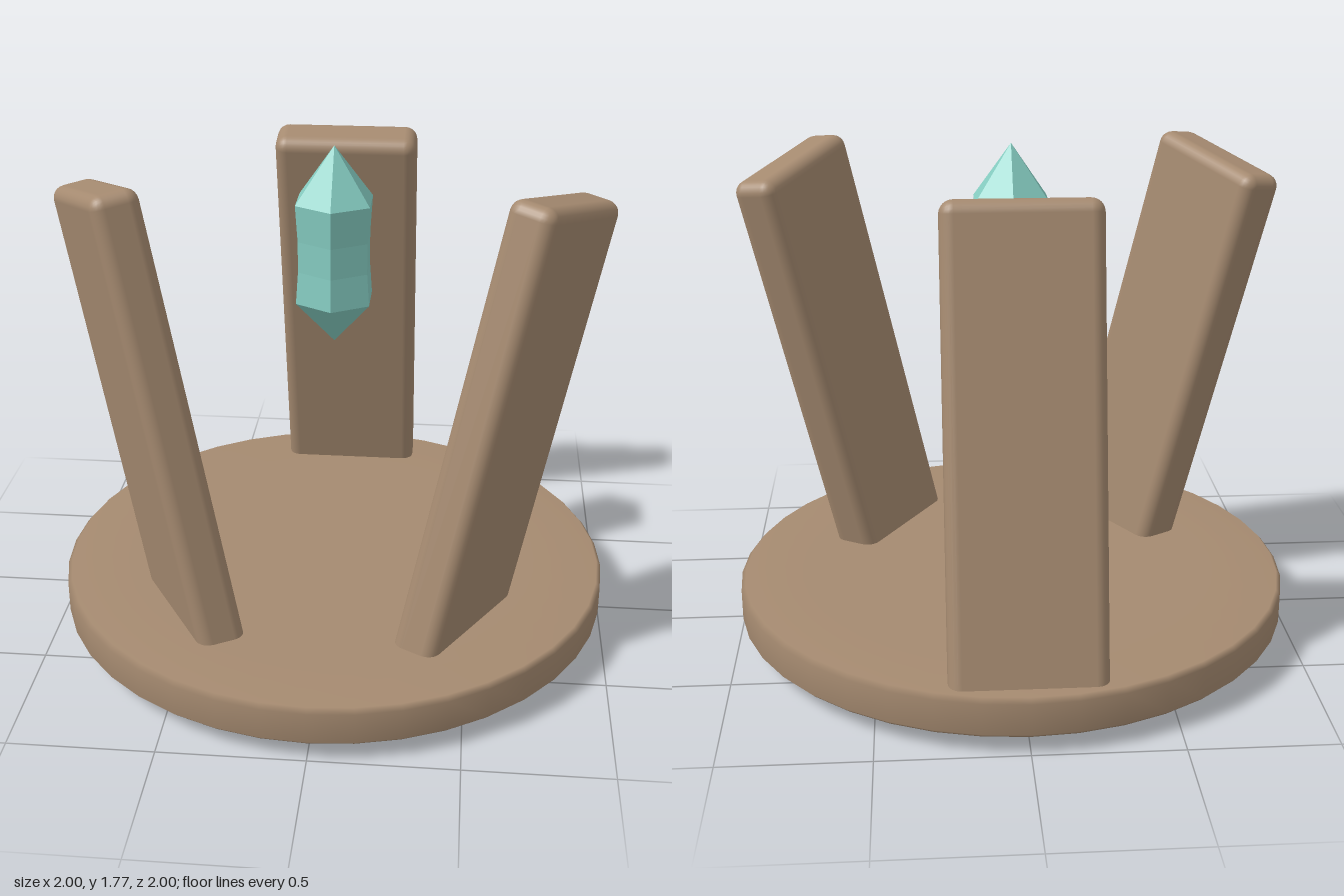
import * as THREE from 'three';
import { RoundedBoxGeometry } from 'three/addons/geometries/RoundedBoxGeometry.js';

const V3 = (x, y, z) => new THREE.Vector3(x, y, z);
const V2 = (a) => a.map(([r, y]) => new THREE.Vector2(r, y));

export function createModel() {
  const group = new THREE.Group();

  const stone = new THREE.MeshStandardMaterial({ color: 0xa58a70 });
  stone.name = 'brown stone';
  const teal = new THREE.MeshStandardMaterial({ color: 0x86cdc2 });
  teal.name = 'teal crystal';

  const add = (name, geometry, material) => {
    const mesh = new THREE.Mesh(geometry, material);
    mesh.name = name;
    group.add(mesh);
    return mesh;
  };

  // Round base plate with a softened rim
  add('base', new THREE.LatheGeometry(V2([
    [0, 0.07], [0.75, 0.07], [0.985, 0.07], [1, 0.085],
    [1, 0.195], [0.985, 0.212], [0.75, 0.212], [0, 0.212],
  ]), 40), stone);

  // Leaning slab from the centre of its foot to the centre of its top
  const addSlab = (name, foot, top, facing) => {
    const axis = top.clone().sub(foot);
    const length = axis.length();
    axis.normalize();
    const normal = facing.addScaledVector(axis, -facing.dot(axis)).normalize();
    const width = axis.clone().cross(normal);
    const slab = add(name, new RoundedBoxGeometry(0.52, length, 0.168, 3, 0.045), stone);
    slab.quaternion.setFromRotationMatrix(new THREE.Matrix4().makeBasis(width, axis, normal));
    slab.position.copy(foot).add(top).multiplyScalar(0.5);
  };

  addSlab('backSlab', V3(0, 0.06, -0.885), V3(0, 1.695, -0.49), V3(0, 0, 1));
  for (const [name, s] of [['leftSlab', 1], ['rightSlab', -1]]) {
    addSlab(name, V3(s * 0.425, 0.06, 0.44), V3(s * 0.775, 1.695, 0.25), V3(s * 0.866, 0, 0.5));
  }

  // Floating six-sided crystal, faceted, with a slight waist
  const crystal = new THREE.LatheGeometry(V2([
    [0, 1.072], [0.147, 1.235], [0.138, 1.35], [0.138, 1.46], [0.147, 1.59], [0, 1.783],
  ]), 6).toNonIndexed();
  crystal.computeVertexNormals();
  add('crystal', crystal, teal);

  return group;
}
